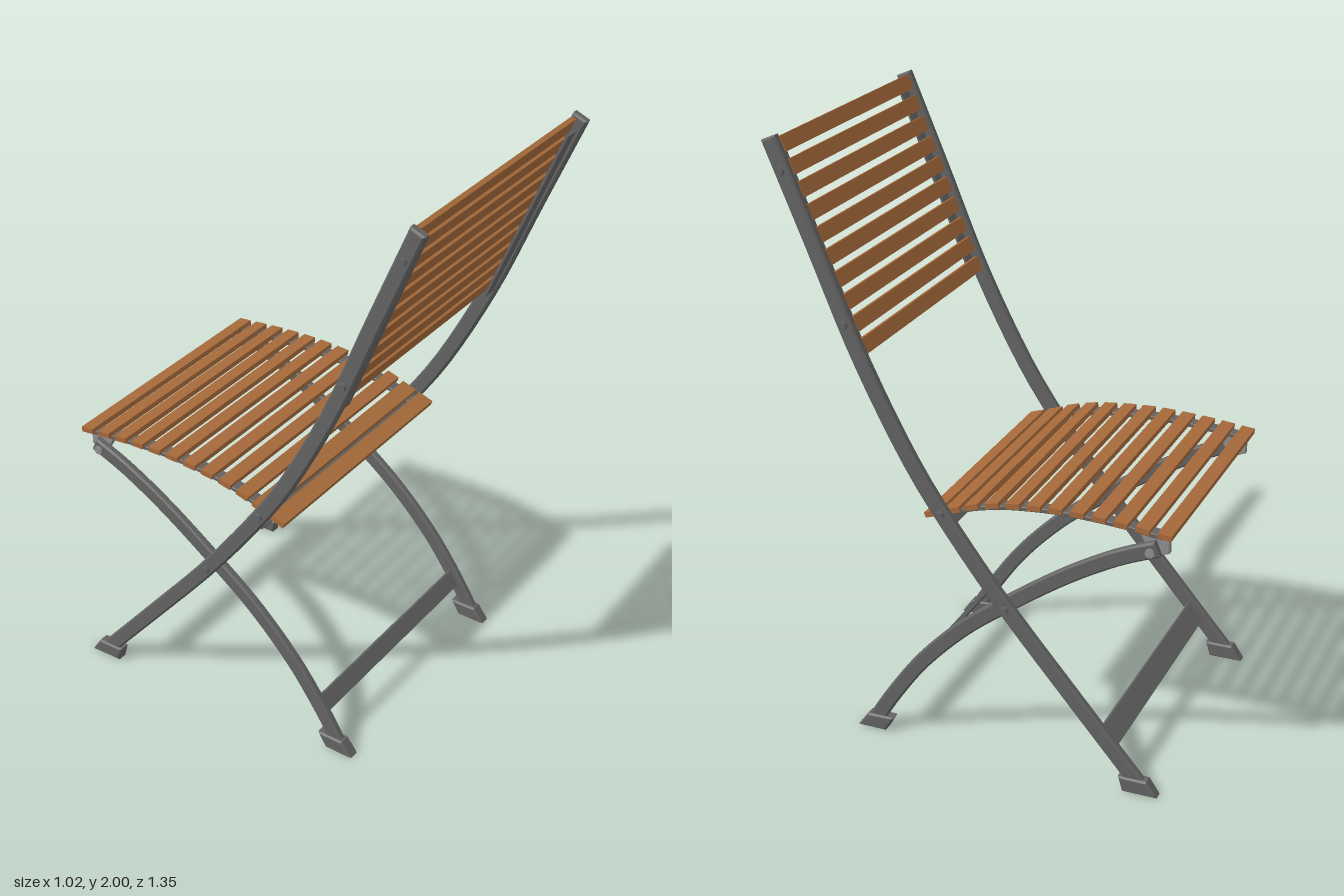
import * as THREE from 'three';
import { toCreasedNormals } from 'three/addons/utils/BufferGeometryUtils.js';

const mat = (name, color) => Object.assign(new THREE.MeshStandardMaterial({ color }), { name });

export function createModel() {
  const wood = mat('wood', 0xa5693a);
  const metal = mat('grey metal', 0x636363);
  const steel = mat('light steel', 0x8e8e8e);
  const model = new THREE.Group();
  model.name = 'foldingChair';
  const chair = new THREE.Group();
  chair.name = 'chair';
  chair.rotation.y = 0.045; // the chair stands slightly turned
  model.add(chair);

  const add = (name, geometry, material, x = 0, y = 0, z = 0, tilt = 0) => {
    const mesh = new THREE.Mesh(geometry, material);
    mesh.name = name;
    mesh.position.set(x, y, z);
    mesh.rotation.x = tilt;
    chair.add(mesh);
    return mesh;
  };
  const box = (name, m, size, ...place) => add(name, new THREE.BoxGeometry(...size), m, ...place);

  // Side outline of points (-z, y), extruded across x with a small chamfer
  const plate = (name, m, outline, x, width, b = 0.006) => {
    const g = new THREE.ExtrudeGeometry(new THREE.Shape(outline), {
      depth: width - 2 * b, bevelEnabled: b > 0, bevelSize: b, bevelThickness: b,
      bevelOffset: -b, bevelSegments: 1, steps: 1,
    });
    g.translate(0, 0, -(width - 2 * b) / 2).rotateY(Math.PI / 2);
    add(name, toCreasedNormals(g, 0.5), m, x);
  };
  const side = (pts) => pts.map(([z, y]) => new THREE.Vector2(-z, y));
  // Bar of constant thickness following a curve
  const bar = (name, m, curve, thick, x, width, b, n = 28) => {
    const a = [], c = [];
    for (let i = 0; i <= n; i++) {
      const p = curve.getPointAt(i / n), t = curve.getTangentAt(i / n);
      const nx = -t.y * thick / 2, ny = t.x * thick / 2;
      a.push(new THREE.Vector2(p.x + nx, p.y + ny));
      c.unshift(new THREE.Vector2(p.x - nx, p.y - ny));
    }
    plate(name, m, [...a, ...c], x, width, b);
  };
  const bolt = (name, m, x, y, z, r = 0.013, len = 0.03) => {
    add(name, new THREE.CylinderGeometry(r, r, len, 12).rotateZ(Math.PI / 2), m, x, y, z);
  };

  const longCurve = new THREE.SplineCurve(side([
    [-0.58, 0.03], [-0.36, 0.287], [-0.13, 0.56], [0.065, 0.82], [0.2, 1.03],
    [0.355, 1.335], [0.49, 1.66], [0.628, 1.988]]));
  const shortCurve = new THREE.SplineCurve(side([
    [0.355, 0.03], [0.28, 0.15], [0.175, 0.292], [0.03, 0.44], [-0.13, 0.565],
    [-0.315, 0.695], [-0.48, 0.79], [-0.61, 0.845]]));
  const seatCurve = new THREE.SplineCurve(side([
    [-0.632, 0.892], [-0.46, 0.909], [-0.29, 0.914], [-0.13, 0.902], [-0.02, 0.88],
    [0.06, 0.853], [0.128, 0.83]]));
  const railCurve = new THREE.SplineCurve(side([
    [-0.62, 0.882], [-0.46, 0.898], [-0.29, 0.903], [-0.13, 0.891], [-0.02, 0.869],
    [0.06, 0.842], [0.13, 0.818]]));

  const tilt = Math.atan2(0.25, 0.615); // lean of the backrest
  for (const s of [-1, 1]) {
    // Legs and feet
    bar('backFrame', metal, longCurve, 0.052, s * 0.46, 0.03);
    bar('seatLeg', metal, shortCurve, 0.052, s * 0.425, 0.028);
    plate('frontFoot', metal, side([[-0.645, 0], [-0.61, 0.052], [-0.515, 0.052], [-0.53, 0]]).reverse(), s * 0.46, 0.042);
    plate('rearFoot', metal, side([[0.415, 0], [0.378, 0.052], [0.285, 0.052], [0.315, 0]]), s * 0.425, 0.042);

    // Slat supports
    bar('seatRail', metal, railCurve, 0.014, s * 0.405, 0.045, 0.002);
    box('backRail', metal, [0.05, 0.672, 0.008], s * 0.42, 1.633, 0.49, tilt);

    // Front seat bracket
    plate('seatBracket', steel, side([[-0.535, 0.893], [-0.64, 0.885], [-0.64, 0.825], [-0.585, 0.803]]), s * 0.4, 0.02, 0.003);
    bolt('bracketBolt', steel, s * 0.425, 0.832, -0.588, 0.015, 0.04);

    // Bolts on the frame
    for (const [y, z] of [[0.56, -0.13], [0.85, 0.085], [1.43, 0.395], [1.89, 0.587]]) {
      bolt('frameBolt', metal, s * 0.473, y, z);
    }
    bolt('pivotPin', metal, s * 0.435, 0.56, -0.13, 0.012, 0.08);
  }

  // Cross bars
  box('frontCrossPlate', metal, [0.9, 0.078, 0.014], 0, 0.16, -0.468, 0.71);
  box('rearCrossPlate', metal, [0.83, 0.06, 0.014], 0, 0.147, 0.284, -0.56);
  box('seatCrossBar', metal, [0.9, 0.026, 0.026], 0, 0.803, 0.075, 0.6);

  // Backrest slats
  for (let i = 0; i < 10; i++) {
    const t = i / 9;
    box('backSlat', wood, [0.88, 0.05, 0.016], 0, 1.353 + 0.609 * t, 0.354 + 0.248 * t, tilt);
  }

  // Seat slats
  for (let i = 0; i < 12; i++) {
    const p = seatCurve.getPointAt(i / 11), t = seatCurve.getTangentAt(i / 11);
    box('seatSlat', wood, [0.88, 0.018, i > 9 ? 0.055 : 0.045], 0, p.y, -p.x, -Math.atan2(t.y, -t.x));
  }
  return model;
}
